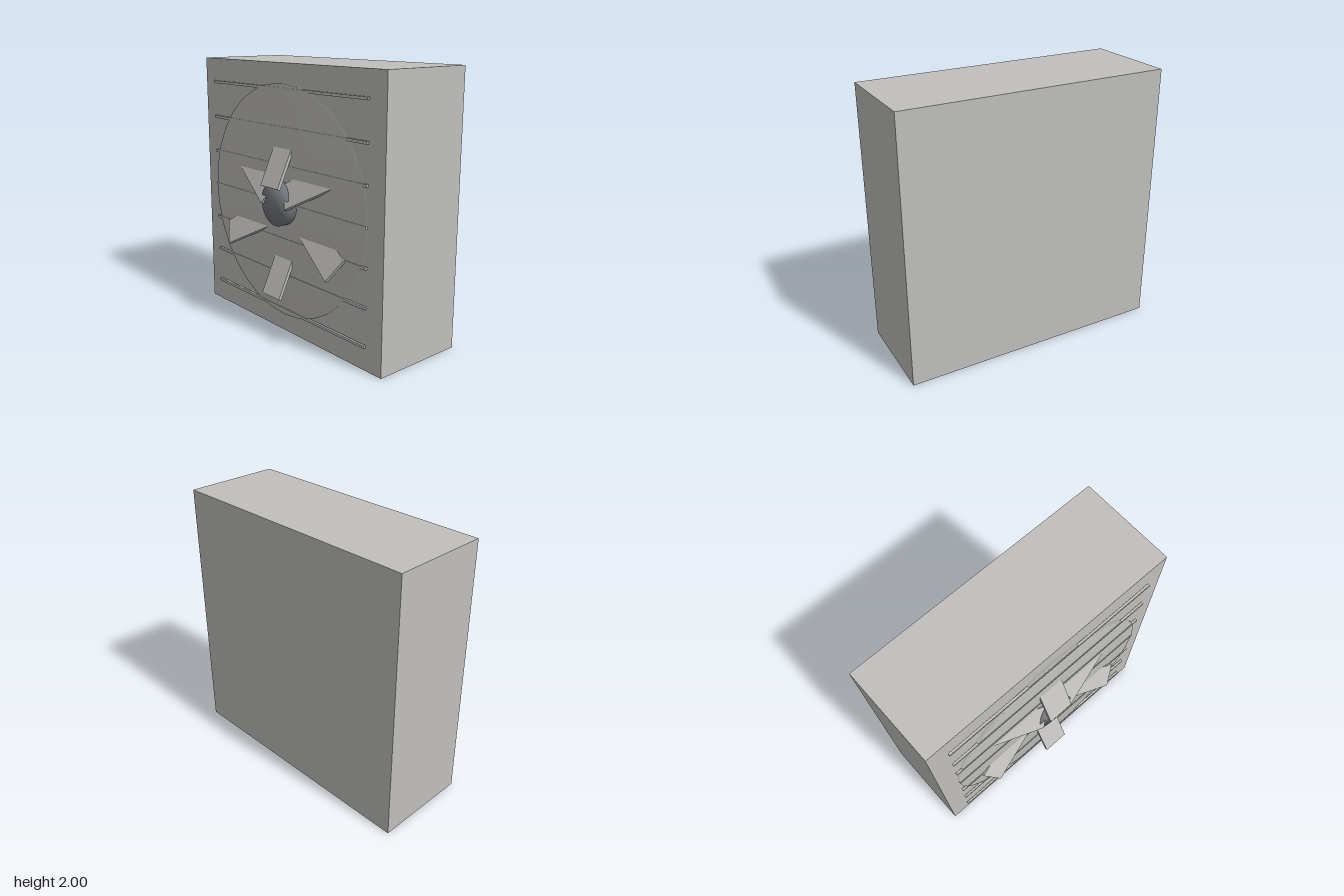
import * as THREE from 'three';
import { mergeVertices } from 'three/addons/utils/BufferGeometryUtils.js';

const grey = new THREE.MeshStandardMaterial({ color: 0xc0bfbd });
grey.name = 'light grey';
const dark = new THREE.MeshStandardMaterial({ color: 0x797c82 });
dark.name = 'dark grey';

function add(parent, name, geometry, material, x, y, z) {
  const mesh = new THREE.Mesh(geometry, material);
  mesh.name = name;
  mesh.position.set(x, y, z);
  parent.add(mesh);
  return mesh;
}

// Disc with its axis along x and softly blended normals over rim and caps
function softDisc(radius, depth) {
  const g = new THREE.CylinderGeometry(radius, radius, depth, 32);
  g.rotateZ(Math.PI / 2);
  g.deleteAttribute('normal');
  g.deleteAttribute('uv');
  const merged = mergeVertices(g, 1e-4);
  merged.computeVertexNormals();
  return merged;
}

export function createModel() {
  const model = new THREE.Group();
  model.name = 'boxFan';

  // Housing
  add(model, 'housing', new THREE.BoxGeometry(0.725, 2, 2), grey, 0.0715, 1, 0);

  // Round fan opening and hub on the -x side
  add(model, 'fanDisc', softDisc(0.86, 0.06), grey, -0.283, 1, 0);
  add(model, 'hub', softDisc(0.16, 0.15), dark, -0.308, 1, 0);

  // Six blades around the hub, all tilted the same way
  const blades = new THREE.Group();
  blades.name = 'blades';
  model.add(blades);
  const bladeShape = new THREE.BoxGeometry(0.025, 0.62, 0.2);
  for (let i = 0; i < 6; i++) {
    const a = (i * Math.PI) / 3;
    const blade = add(blades, 'blade', bladeShape, grey,
      -0.295, 1 + 0.41 * Math.cos(a), 0.41 * Math.sin(a));
    blade.rotation.set(a, 0, -THREE.MathUtils.degToRad(25), 'ZYX');
  }

  // Horizontal guard bars
  const guard = new THREE.Group();
  guard.name = 'guard';
  model.add(guard);
  const barShape = new THREE.BoxGeometry(0.017, 0.02, 1.72);
  for (let i = 0; i < 7; i++) {
    add(guard, 'guardBar', barShape, grey, -0.3085, 0.18 + i * 0.2733, 0);
  }

  return model;
}
